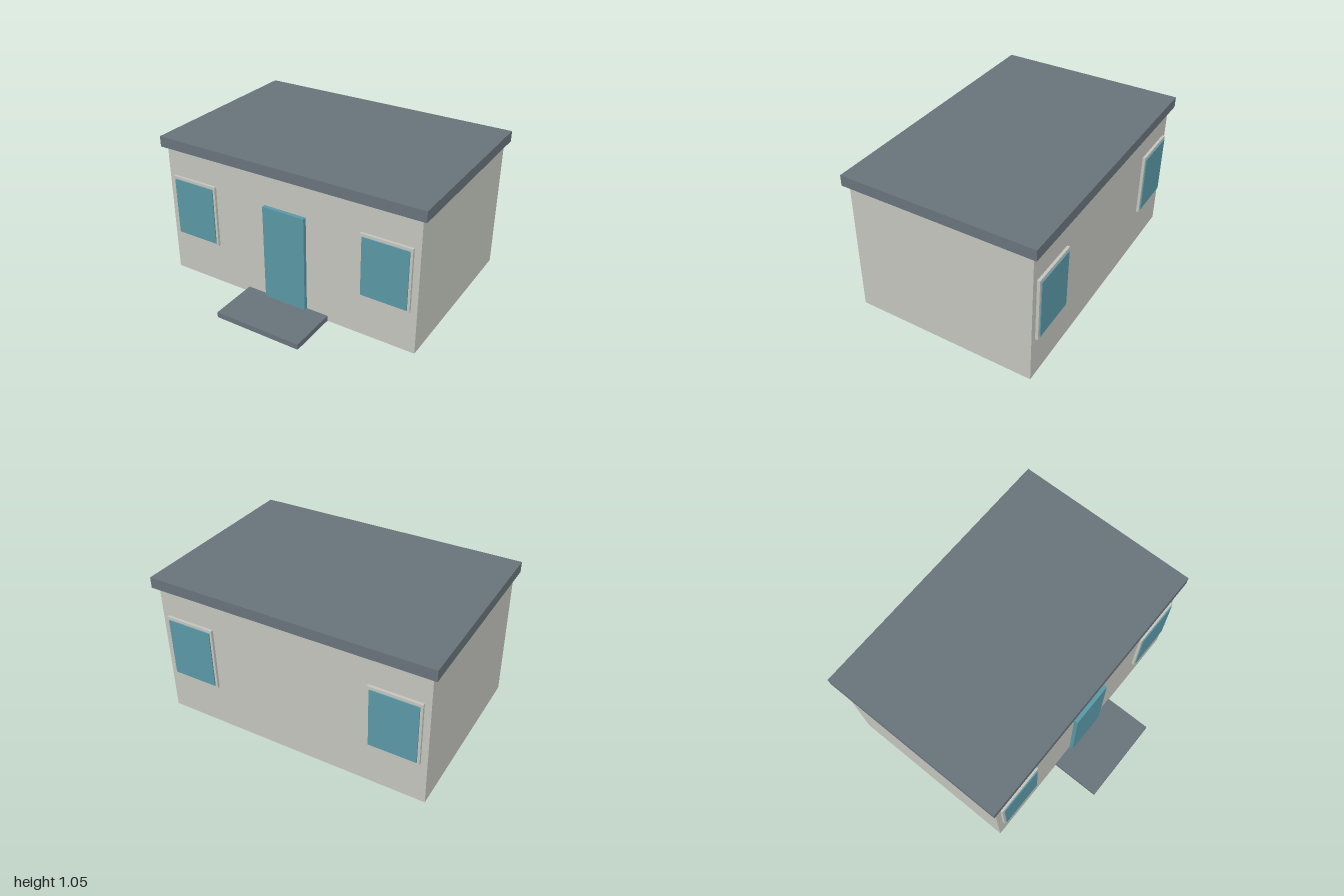
import * as THREE from 'three';

const flat = (name, color) => {
  const m = new THREE.MeshStandardMaterial({ color });
  m.name = name;
  return m;
};

export function createModel() {
  const house = new THREE.Group();
  house.name = 'house';
  const wall = flat('warm grey wall', 0xc2c4bc);
  const slate = flat('slate grey', 0x68737a);
  const teal = flat('teal', 0x5997a5);

  // Box given by its min and max corners
  const box = (parent, name, mat, [x0, y0, z0], [x1, y1, z1]) => {
    const mesh = new THREE.Mesh(new THREE.BoxGeometry(x1 - x0, y1 - y0, z1 - z0), mat);
    mesh.position.set((x0 + x1) / 2, (y0 + y1) / 2, (z0 + z1) / 2);
    mesh.name = name;
    parent.add(mesh);
  };

  const front = 0.483, back = -0.805;

  // Main volume, overhanging flat roof, door and entrance step
  box(house, 'walls', wall, [-0.966, 0, back], [0.966, 0.97, front]);
  box(house, 'roof', slate, [-1, 0.97, -0.84], [1, 1.046, 0.515]);
  box(house, 'door', teal, [-0.16, 0.04, front], [0.16, 0.74, 0.511]);
  box(house, 'entranceStep', slate, [-0.323, 0, front], [0.323, 0.04, 0.84]);

  // Window: raised surround with a slightly proud pane, facing local +z
  const addWindow = (name, x, z, turn) => {
    const win = new THREE.Group();
    win.name = name;
    box(win, 'windowFrame', wall, [-0.18, 0.306, 0], [0.18, 0.764, 0.019]);
    box(win, 'windowPane', teal, [-0.163, 0.323, 0.019], [0.163, 0.744, 0.026]);
    win.position.set(x, 0, z);
    win.rotation.y = turn;
    house.add(win);
  };
  for (const side of [-1, 1]) {
    const label = side > 0 ? 'Left' : 'Right';
    addWindow('front' + label + 'Window', side * 0.742, front, 0);
    addWindow('back' + label + 'Window', side * 0.742, back, Math.PI);
  }
  return house;
}
